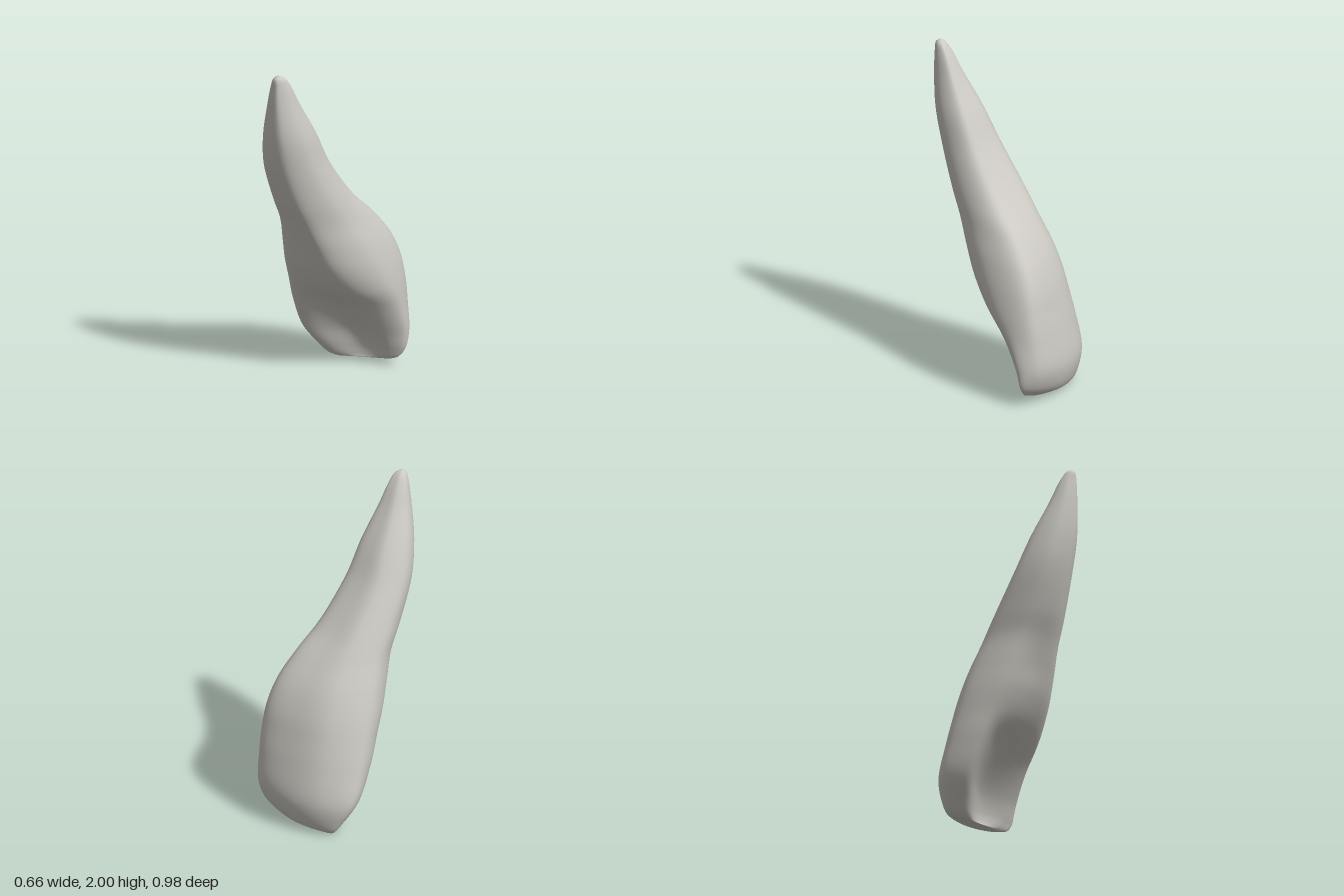
import * as THREE from 'three';

// Cross-sections from cutting edge to root tip:
// height, min x, max x, front z (left, right), hollow of front, back z (left, right)
const SECTIONS = [
  [0.0, -0.2, 0.2, -0.27, -0.35, 0, -0.32, -0.39],
  [0.02, -0.24, 0.25, -0.24, -0.35, 0.02, -0.35, -0.41],
  [0.08, -0.28, 0.29, -0.19, -0.34, 0.045, -0.37, -0.445],
  [0.2, -0.33, 0.308, -0.1, -0.3, 0.06, -0.37, -0.476],
  [0.4, -0.32, 0.32, 0, -0.19, 0.02, -0.335, -0.462],
  [0.55, -0.3, 0.33, 0.065, -0.04, -0.03, -0.305, -0.437],
  [0.7, -0.275, 0.32, 0.13, 0.08, -0.028, -0.27, -0.405],
  [0.85, -0.24, 0.295, 0.18, 0.165, -0.017, -0.215, -0.34],
  [1.0, -0.2, 0.26, 0.23, 0.24, -0.02, -0.13, -0.225],
  [1.15, -0.175, 0.24, 0.305, 0.315, -0.025, -0.03, -0.07],
  [1.4, -0.13, 0.215, 0.412, 0.41, -0.022, 0.14, 0.11],
  [1.6, -0.075, 0.2, 0.458, 0.46, -0.016, 0.235, 0.21],
  [1.8, 0.0, 0.165, 0.478, 0.482, -0.008, 0.34, 0.32],
  [1.93, 0.045, 0.145, 0.48, 0.483, -0.005, 0.4, 0.385],
  [1.982, 0.073, 0.132, 0.479, 0.479, -0.005, 0.43, 0.422],
  [2.0, 0.095, 0.115, 0.465, 0.465, 0, 0.45, 0.45],
];

// Eight control points around one section, from the side through the front
function sectionPoints([y, x0, x1, f0, f1, dent, b0, b1]) {
  const w = x1 - x0, mix = THREE.MathUtils.lerp;
  const root = THREE.MathUtils.smoothstep(y, 0.3, 0.95);
  const mid = (x0 + x1) / 2;
  return [
    [x0, mix(f0, b0, 0.45)],
    [x0 + mix(0.18, 0.22, root) * w, f0],
    [mid, (f0 + f1) / 2 - dent],
    [x1 - mix(0.14, 0.22, root) * w, f1],
    [x1, mix(f1, b1, mix(0.53, 0.45, root))],
    [x1 - 0.12 * w, b1],
    [mid, (b0 + b1) / 2 - 0.065 * w],
    [x0 + 0.17 * w, b0],
  ].map(([x, z]) => {
    // the cutting edge rises slightly to one side
    const tilt = 0.12 * Math.max(0, x + 0.18) * Math.max(0, 1 - y / 0.4);
    return new THREE.Vector3(x, y + tilt, z);
  });
}

function toothGeometry(rows = 90, cols = 64) {
  const rings = SECTIONS.map(sectionPoints);
  // one lengthwise curve through each control point
  const rails = rings[0].map((_, k) => new THREE.CatmullRomCurve3(rings.map((r) => r[k])));
  const positions = [], index = [], centres = [];
  for (let i = 0; i <= rows; i++) {
    const loop = new THREE.CatmullRomCurve3(rails.map((r) => r.getPoint(i / rows)), true);
    const centre = new THREE.Vector3();
    for (let j = 0; j < cols; j++) {
      const p = loop.getPoint(j / cols);
      positions.push(p.x, p.y, p.z);
      centre.addScaledVector(p, 1 / cols);
    }
    centres.push(centre);
  }
  // end points close the edge and the tip
  const bottom = positions.length / 3, top = bottom + 1;
  for (const c of [centres[0], centres[rows]]) positions.push(c.x, c.y, c.z);
  for (let j = 0; j < cols; j++) {
    const n = (j + 1) % cols;
    for (let i = 0; i < rows; i++) {
      const a = i * cols + j, b = i * cols + n;
      index.push(a, b, a + cols, b, b + cols, a + cols);
    }
    index.push(n, j, bottom, rows * cols + j, rows * cols + n, top);
  }
  const geometry = new THREE.BufferGeometry();
  geometry.setAttribute('position', new THREE.Float32BufferAttribute(positions, 3));
  geometry.setIndex(index);
  geometry.computeVertexNormals();
  return geometry;
}

export function createModel() {
  const group = new THREE.Group();
  group.name = 'incisorTooth';
  const enamel = new THREE.MeshStandardMaterial({ color: 0xcbc9c2 });
  enamel.name = 'enamel';
  const tooth = new THREE.Mesh(toothGeometry(), enamel);
  tooth.name = 'crownAndRoot';
  group.add(tooth);
  return group;
}
